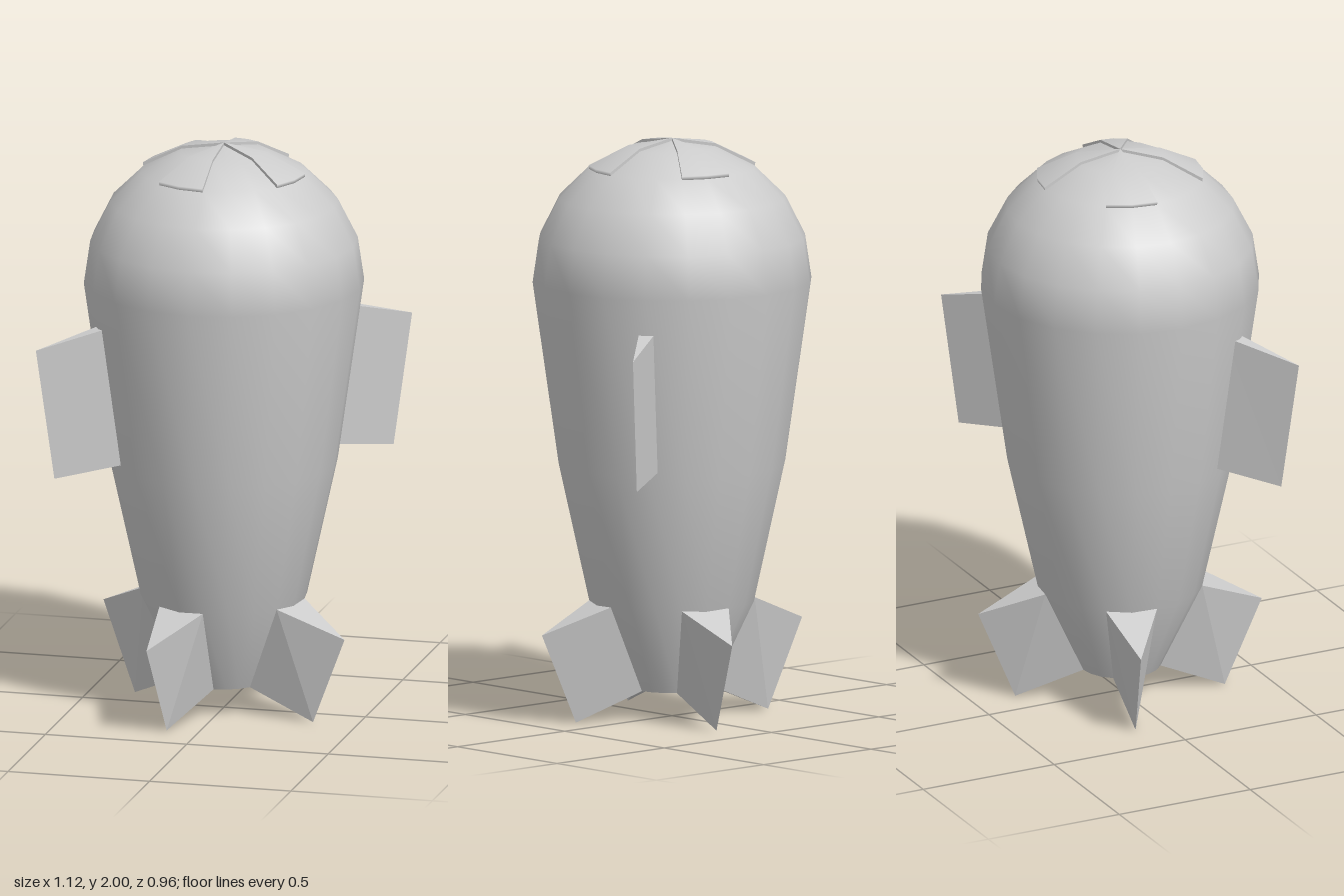
import * as THREE from 'three';

const rad = THREE.MathUtils.degToRad;
const grey = new THREE.MeshStandardMaterial({ color: 0xcccccc });
const greyThin = new THREE.MeshStandardMaterial({ color: 0xcccccc, side: THREE.DoubleSide });
const points = (list) => list.map(([x, y]) => new THREE.Vector2(x, y));

// Wedge fin along +x: each end is [inner radius, inner y, half width, outer radius, outer y]
function wedge(top, bottom) {
  const ends = ([ri, yi, h, ro, yo]) => [[ri, yi, h], [ri, yi, -h], [ro, yo, 0]];
  const [A, B, O] = ends(top);
  const [a, b, o] = ends(bottom);
  const quad = (p, q, r, s) => [p, q, r, p, r, s];
  const corners = [
    A, O, B, a, b, o,
    ...quad(A, a, o, O), ...quad(B, O, o, b), ...quad(A, B, b, a),
  ];
  const geometry = new THREE.BufferGeometry();
  geometry.setAttribute('position', new THREE.Float32BufferAttribute(corners.flat(), 3));
  geometry.computeVertexNormals();
  return geometry;
}

export function createModel() {
  const model = new THREE.Group();
  model.name = 'finnedPod';

  function add(name, geometry, material = grey, angle = 0) {
    const mesh = new THREE.Mesh(geometry, material);
    mesh.name = name;
    mesh.rotation.y = -rad(angle);
    model.add(mesh);
    return mesh;
  }

  // Teardrop body with a flat base
  const profile = points([
    [0.14, 0.1], [0.285, 0.405], [0.39, 0.88], [0.48, 1.51], [0.458, 1.66],
    [0.39, 1.795], [0.283, 1.9], [0.15, 1.968], [0, 1.99],
  ]);
  add('body', new THREE.LatheGeometry(profile, 20));
  const base = new THREE.CircleGeometry(0.14, 20).rotateX(Math.PI / 2).translate(0, 0.1, 0);
  add('base', base);

  // Four thin raised petals on the nose
  const section = points([
    [0, 1.98], [0.15, 1.958], [0.285, 1.895], [0.287, 1.91], [0.15, 1.978], [0, 2],
  ]);
  const shell = new THREE.LatheGeometry(section, 2, -rad(36), rad(36));
  const edge = new THREE.ShapeGeometry(new THREE.Shape(section));
  for (let i = 0; i < 4; i++) {
    add('nosePetal', shell, greyThin, i * 90);
    add('nosePetalEdge', edge, greyThin, i * 90 + 90);
    add('nosePetalEdge', edge, greyThin, i * 90 + 126);
  }

  // Two slim side fins
  const sideFin = wedge([0.42, 1.395, 0.03, 0.69, 1.33], [0.36, 0.905, 0.03, 0.622, 0.87]);
  for (const angle of [-36, 144]) add('sideFin', sideFin, grey, angle);

  // Four broad tail fins, each covering two facets of the body
  const tailFin = wedge([0.271, 0.405, 0.088, 0.49, 0.31], [0.133, 0.1, 0.043, 0.362, 0]);
  for (let i = 0; i < 4; i++) add('tailFin', tailFin, grey, 18 + i * 90);

  return model;
}
